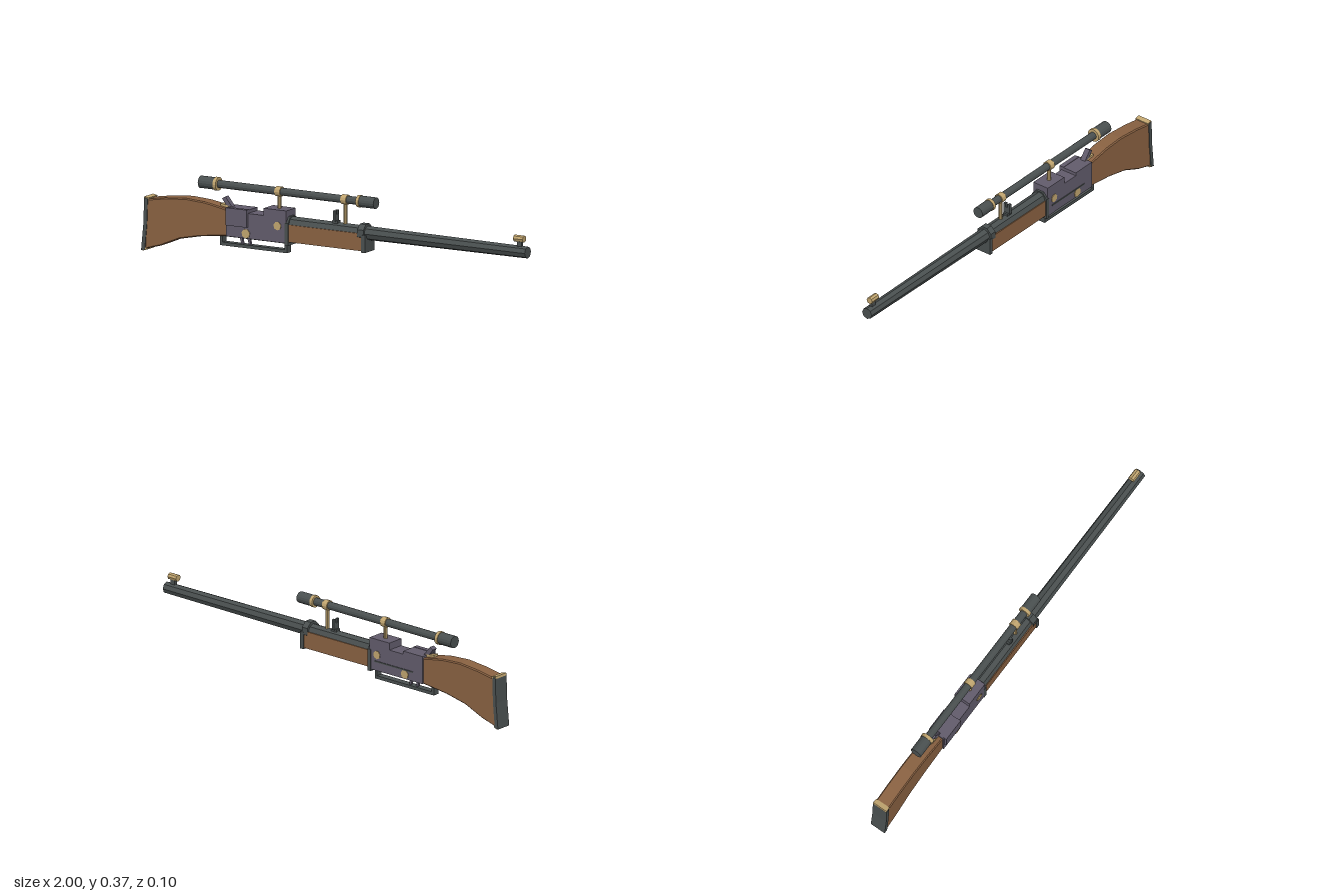
import * as THREE from 'three';

const mat = (name, color) => {
  const m = new THREE.MeshStandardMaterial({ color, flatShading: true });
  m.name = name;
  return m;
};

export function createModel() {
  const wood = mat('walnut wood', 0x8a6242);
  const steel = mat('dark steel', 0x4a5050);
  const plate = mat('violet grey metal', 0x625c6c);
  const brass = mat('brass', 0xc2a670);

  const model = new THREE.Group();
  model.name = 'rifle';
  const body = new THREE.Group();
  body.name = 'rifleBody';
  body.position.z = -0.004; // parts share this centre line
  model.add(body);

  const add = (name, geometry, material, x = 0, y = 0, z = 0) => {
    const mesh = new THREE.Mesh(geometry, material);
    mesh.name = name;
    mesh.position.set(x, y, z);
    body.add(mesh);
    return mesh;
  };

  // Box given by its limits
  const box = (name, m, x0, x1, y0, y1, z0, z1) =>
    add(name, new THREE.BoxGeometry(x1 - x0, y1 - y0, z1 - z0), m,
      (x0 + x1) / 2, (y0 + y1) / 2, (z0 + z1) / 2);

  // Rod along x, with its radius at each end
  const rodX = (name, m, x0, x1, y, r0, r1 = r0, sides = 8, turn = 0) => {
    const g = new THREE.CylinderGeometry(r1, r0, x1 - x0, sides);
    g.rotateY(turn);
    g.rotateZ(-Math.PI / 2);
    return add(name, g, m, (x0 + x1) / 2, y, 0);
  };

  // Side profile (x, y) extruded evenly about the centre line
  const slab = (name, m, points, width, bevel = 0) => {
    const shape = new THREE.Shape(points.map(p => new THREE.Vector2(...p)));
    const g = new THREE.ExtrudeGeometry(shape, {
      depth: width - 2 * bevel, bevelEnabled: bevel > 0, bevelSize: bevel,
      bevelThickness: bevel, bevelOffset: -bevel, bevelSegments: 1,
    });
    g.translate(0, 0, -(width - 2 * bevel) / 2);
    return add(name, g, m);
  };

  // Shoulder stock and butt plate
  slab('stock', wood, [
    [-0.982, 0.015], [-0.9, 0.038], [-0.8, 0.08], [-0.69, 0.103], [-0.54, 0.12],
    [-0.54, 0.238], [-0.6, 0.25], [-0.67, 0.262], [-0.77, 0.268], [-0.88, 0.258], [-0.972, 0.243],
  ], 0.07, 0.005);
  slab('buttPlate', steel, [
    [-1, 0.008], [-0.981, 0.012], [-0.97, 0.13], [-0.966, 0.245],
    [-0.984, 0.25], [-0.988, 0.13],
  ], 0.076);
  slab('buttHeel', brass, [[-0.986, 0.243], [-0.962, 0.238], [-0.96, 0.25], [-0.984, 0.254]], 0.072);
  slab('buttToe', brass, [[-0.994, 0.006], [-0.974, 0.012], [-0.974, 0.022], [-0.992, 0.018]], 0.072);
  slab('tang', brass, [[-0.6, 0.25], [-0.54, 0.238], [-0.54, 0.25], [-0.6, 0.26]], 0.026);

  // Stepped receiver and its raised side cover
  slab('receiver', plate, [
    [-0.555, 0.12], [-0.24, 0.12], [-0.24, 0.268], [-0.358, 0.268],
    [-0.358, 0.235], [-0.44, 0.235], [-0.44, 0.25], [-0.555, 0.25],
  ], 0.082);
  box('sideCover', plate, -0.55, -0.44, 0.172, 0.252, 0.03, 0.052);
  box('sideRail', steel, -0.5, -0.27, 0.16, 0.166, -0.044, -0.03);
  slab('hammer', plate, [[-0.592, 0.283], [-0.555, 0.235], [-0.54, 0.25], [-0.575, 0.293]], 0.026);

  // Brass pins through the receiver
  for (const [x, y, r] of [[-0.45, 0.142, 0.022], [-0.285, 0.195, 0.02]]) {
    const g = new THREE.CylinderGeometry(r, r, 0.088, 7);
    g.rotateX(Math.PI / 2);
    add('receiverPin', g, brass, x, y, 0);
  }

  // Collar plate closing the front of the receiver
  const collar = new THREE.Shape([
    [-0.042, 0.11], [0.042, 0.11], [0.042, 0.212], [0.02, 0.24], [-0.02, 0.24], [-0.042, 0.212],
  ].map(p => new THREE.Vector2(...p)));
  const collarGeo = new THREE.ExtrudeGeometry(collar, { depth: 0.018, bevelEnabled: false });
  collarGeo.rotateY(Math.PI / 2);
  add('receiverCollar', collarGeo, steel, -0.248, 0, 0);

  // Trigger guard loop and two triggers
  box('guardBar', steel, -0.6, -0.25, 0.07, 0.085, -0.016, 0.016);
  box('guardRearPost', steel, -0.6, -0.587, 0.08, 0.122, -0.016, 0.016);
  box('guardFrontPost', steel, -0.263, -0.25, 0.08, 0.122, -0.016, 0.016);
  box('guardTopPlate', steel, -0.6, -0.25, 0.113, 0.121, -0.016, 0.016);
  for (const x of [-0.5, -0.46]) {
    slab('trigger', plate, [[x - 0.006, 0.122], [x + 0.004, 0.085], [x + 0.014, 0.085], [x + 0.008, 0.122]], 0.012);
  }

  // Fore-end and its cap
  box('foreEnd', wood, -0.235, 0.16, 0.126, 0.205, -0.037, 0.037);
  box('foreEndCap', steel, 0.152, 0.171, 0.12, 0.2, -0.041, 0.041);

  // Tapered octagonal barrel and band
  rodX('barrel', steel, -0.24, 0.998, 0.204, 0.034, 0.027);
  rodX('barrelBand', steel, 0.13, 0.162, 0.206, 0.042, 0.042, 8, Math.PI / 8);

  // Rear notch sight
  box('rearSightBase', steel, -0.018, 0.012, 0.225, 0.244, -0.012, 0.012);
  box('rearSightLeaf', steel, -0.01, 0.002, 0.24, 0.272, -0.017, 0.017);
  for (const s of [-1, 1]) {
    box('rearSightProng', steel, -0.01, 0.002, 0.27, 0.29, s * 0.0115 - 0.0055, s * 0.0115 + 0.0055);
  }

  // Front bead sight
  box('frontSightPost', steel, 0.945, 0.97, 0.225, 0.258, -0.007, 0.007);
  rodX('frontSightBead', brass, 0.93, 0.98, 0.263, 0.016);

  // Telescopic sight
  const sy = 0.344;
  rodX('scopeTube', steel, -0.63, 0.125, sy, 0.018, 0.018, 12);
  rodX('eyepiece', steel, -0.71, -0.625, sy, 0.028, 0.028, 16);
  rodX('eyepieceRing', brass, -0.632, -0.616, sy, 0.031, 0.031, 16);
  rodX('objective', steel, 0.125, 0.206, sy, 0.026, 0.026, 16);
  rodX('objectiveRing', brass, 0.113, 0.128, sy, 0.028, 0.028, 16);

  // Scope mounts
  for (const [x, y0] of [[-0.3, 0.265], [0.045, 0.228]]) {
    const h = sy - 0.016 - y0;
    add('mountPost', new THREE.CylinderGeometry(0.009, 0.009, h, 8), brass, x, y0 + h / 2, 0);
    rodX('mountRing', brass, x - 0.014, x + 0.014, sy, 0.023, 0.023, 12);
  }

  return model;
}
